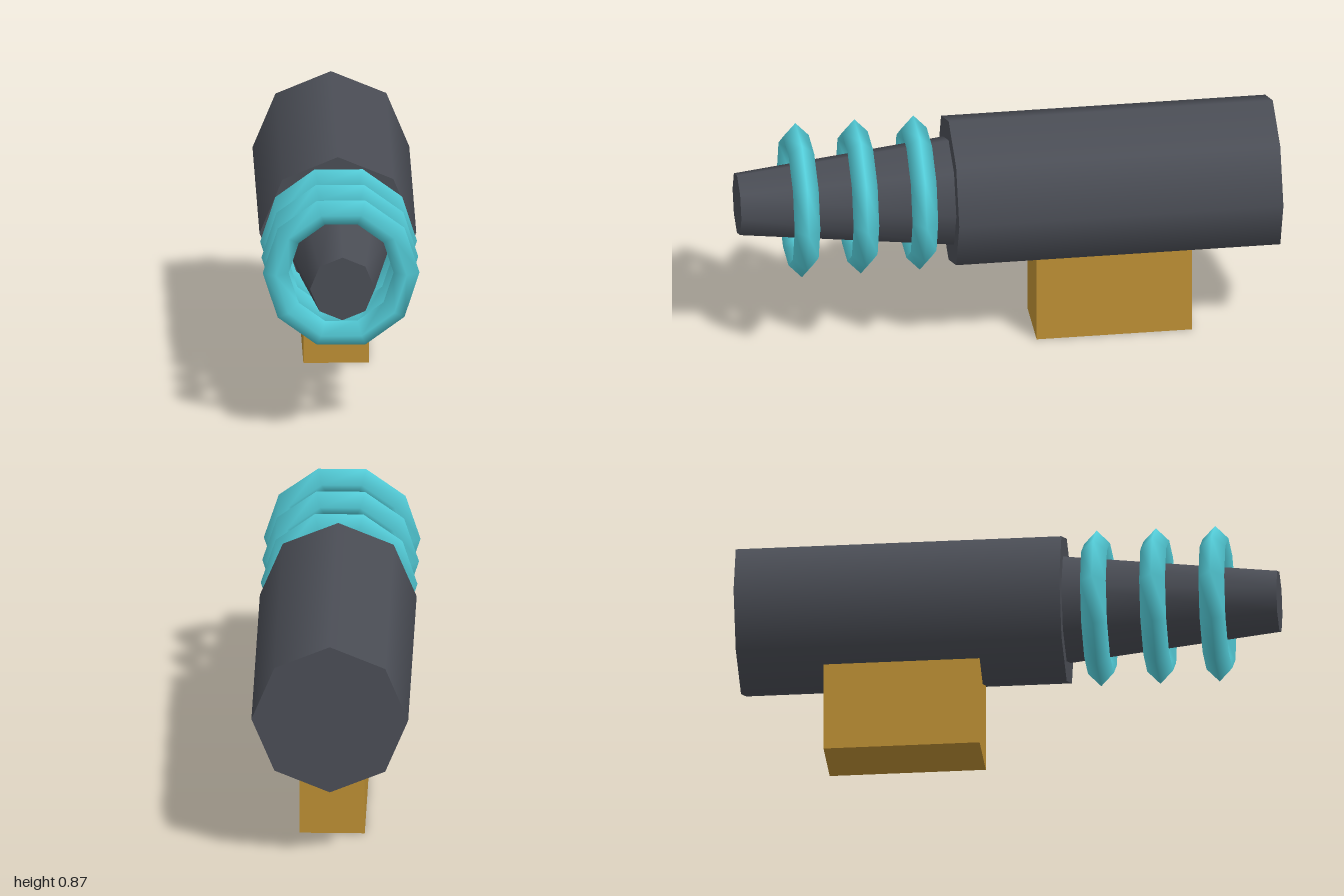
import * as THREE from 'three';

const AXIS_Y = 0.583;

export function createModel() {
  const model = new THREE.Group();
  const gunmetal = new THREE.MeshStandardMaterial({ name: 'gunmetal', color: 0x4b4e56 });
  const cyan = new THREE.MeshStandardMaterial({ name: 'cyan', color: 0x55d0dc });
  const ochre = new THREE.MeshStandardMaterial({ name: 'ochre', color: 0xbe9034 });

  const add = (name, geometry, material, y, z) => {
    const mesh = new THREE.Mesh(geometry, material);
    mesh.name = name;
    mesh.position.set(0, y, z);
    model.add(mesh);
  };

  // Eight-sided tube lying along z
  const tube = (front, back, length) =>
    new THREE.CylinderGeometry(front, back, length, 8).rotateX(Math.PI / 2);

  // Main body and tapered barrel
  add('body', tube(0.29, 0.29, 1.21), gunmetal, AXIS_Y, -0.395);
  add('barrel', tube(0.12, 0.21, 0.79), gunmetal, AXIS_Y, 0.605);

  // Floating rings around the barrel
  [0.33, 0.55, 0.77].forEach((z, i) => {
    add(`ring${i + 1}`, new THREE.TorusGeometry(0.242, 0.048, 4, 10), cyan, AXIS_Y, z);
  });

  // Grip block, sunk into the underside of the body
  add('grip', new THREE.BoxGeometry(0.242, 0.4, 0.58), ochre, 0.2, -0.392);

  return model;
}
